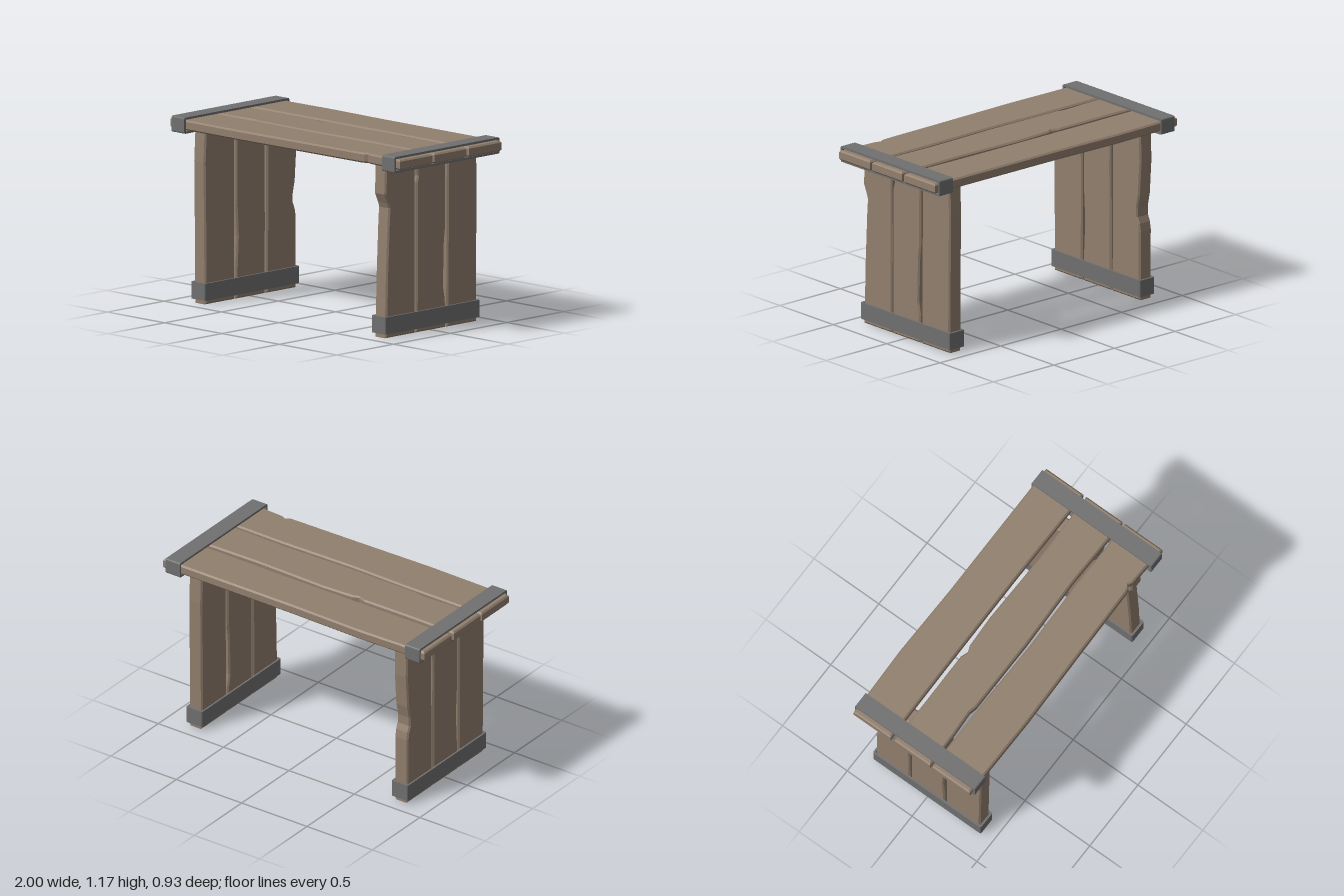
import * as THREE from 'three';

const wood = new THREE.MeshStandardMaterial({ color: 0x917f6e });
wood.name = 'wood';
const iron = new THREE.MeshStandardMaterial({ color: 0x707070 });
iron.name = 'iron';

// Chamfered plank: two long edges given as [position along plank, z], extruded by its thickness
function plankGeometry(frontEdge, backEdge, thickness) {
  const outline = [...frontEdge, ...[...backEdge].reverse()].map(([along, z]) => new THREE.Vector2(along, -z));
  const bevel = 0.01;
  const geometry = new THREE.ExtrudeGeometry(new THREE.Shape(outline), {
    depth: thickness - 2 * bevel, bevelEnabled: true, bevelSegments: 1,
    bevelSize: bevel, bevelThickness: bevel, bevelOffset: -bevel,
  });
  return geometry.translate(0, 0, bevel);
}

function roundedRect(path, w, h, r) {
  const x = w / 2, y = h / 2;
  path.moveTo(-x + r, -y).lineTo(x - r, -y).quadraticCurveTo(x, -y, x, -y + r);
  path.lineTo(x, y - r).quadraticCurveTo(x, y, x - r, y);
  path.lineTo(-x + r, y).quadraticCurveTo(-x, y, -x, y - r);
  path.lineTo(-x, -y + r).quadraticCurveTo(-x, -y, -x + r, -y);
  return path;
}

// Hollow strap wrapped around the planks
function strapGeometry(w, h, width) {
  const wall = 0.014;
  const shape = roundedRect(new THREE.Shape(), w, h, 0.012);
  shape.holes.push(roundedRect(new THREE.Path(), w - 2 * wall, h - 2 * wall, 0.004));
  return new THREE.ExtrudeGeometry(shape, { depth: width, bevelEnabled: false, curveSegments: 3 })
    .translate(0, 0, -width / 2);
}

function add(group, name, geometry, material) {
  const mesh = new THREE.Mesh(geometry, material);
  mesh.name = name;
  group.add(mesh);
  return mesh;
}

export function createModel() {
  const model = new THREE.Group();
  model.name = 'plankTable';

  // Table top: worn front and back edges of each plank as [x, z]
  const topPlanks = [
    [[[-1, -0.165], [-0.4, -0.17], [0.3, -0.172], [1, -0.165]],
      [[-1, -0.45], [-0.5, -0.462], [0, -0.452], [1, -0.452]]],
    [[[-1, 0.14], [-0.75, 0.136], [-0.57, 0.126], [-0.52, 0.138], [0, 0.142], [0.5, 0.128], [1, 0.138]],
      [[-1, -0.14], [-0.7, -0.135], [-0.31, -0.138], [-0.26, -0.12], [-0.22, -0.136], [0, -0.146], [0.5, -0.134], [1, -0.142]]],
    [[[-1, 0.445], [-0.4, 0.452], [0.2, 0.44], [0.64, 0.433], [0.67, 0.428], [0.69, 0.414], [0.72, 0.427], [0.85, 0.433], [1, 0.444]],
      [[-1, 0.155], [-0.4, 0.155], [0, 0.163], [0.5, 0.152], [1, 0.156]]],
  ];
  topPlanks.forEach(([front, back], i) => {
    const geometry = plankGeometry(front, back, 0.064).rotateX(-Math.PI / 2).translate(0, 1.091, 0);
    add(model, 'topPlank' + (i + 1), geometry, wood);
  });

  // Leg panels: plank edges as [y, z], with chipped spots
  const y0 = 0.003, y1 = 1.092;
  const leftLeg = [
    [[[y0, 0.402], [0.4, 0.392], [0.75, 0.376], [0.82, 0.37], [0.85, 0.38], [0.91, 0.407], [y1, 0.4]],
      [[y0, 0.142], [0.6, 0.139], [y1, 0.142]]],
    [[[y0, 0.132], [0.6, 0.13], [0.95, 0.13], [0.99, 0.118], [1.06, 0.128], [y1, 0.13]],
      [[y0, -0.129], [0.18, -0.126], [0.26, -0.11], [0.55, -0.118], [0.62, -0.127], [y1, -0.131]]],
    [[[y0, -0.138], [0.6, -0.142], [y1, -0.145]],
      [[y0, -0.4], [0.5, -0.403], [0.9, -0.408], [y1, -0.4]]],
  ];
  const rightLeg = [
    [[[y0, 0.4], [0.5, 0.405], [0.9, 0.41], [y1, 0.4]],
      [[y0, 0.142], [0.6, 0.139], [y1, 0.142]]],
    [[[y0, 0.132], [0.2, 0.128], [0.4, 0.118], [0.6, 0.129], [y1, 0.13]],
      [[y0, -0.129], [0.5, -0.13], [0.8, -0.126], [y1, -0.131]]],
    [[[y0, -0.138], [0.6, -0.142], [y1, -0.142]],
      [[y0, -0.4], [0.45, -0.402], [0.5, -0.393], [0.54, -0.376], [0.6, -0.376], [0.68, -0.393], [0.9, -0.408], [y1, -0.403]]],
  ];
  for (const [name, planks, x] of [['leftLeg', leftLeg, 0.786], ['rightLeg', rightLeg, -0.786]]) {
    const leg = new THREE.Group();
    leg.name = name;
    planks.forEach(([front, back], i) => {
      // Swap plank axes so its length runs up y, thickness along x
      const geometry = plankGeometry(front, back, 0.1)
        .rotateZ(Math.PI / 2).rotateY(-Math.PI / 2).translate(0.05, 0, 0);
      add(leg, 'legPlank' + (i + 1), geometry, wood);
    });
    add(leg, 'footStrap', strapGeometry(0.124, 0.834, 0.108).rotateX(-Math.PI / 2).translate(0, 0.084, 0), iron);
    leg.position.x = x;
    model.add(leg);

    // Strap around the matching end of the top
    const strap = add(model, name.replace('Leg', 'TopStrap'),
      strapGeometry(0.926, 0.102, 0.11).rotateY(Math.PI / 2), iron);
    strap.position.set(Math.sign(x) * 0.916, 1.122, 0);
  }
  return model;
}
